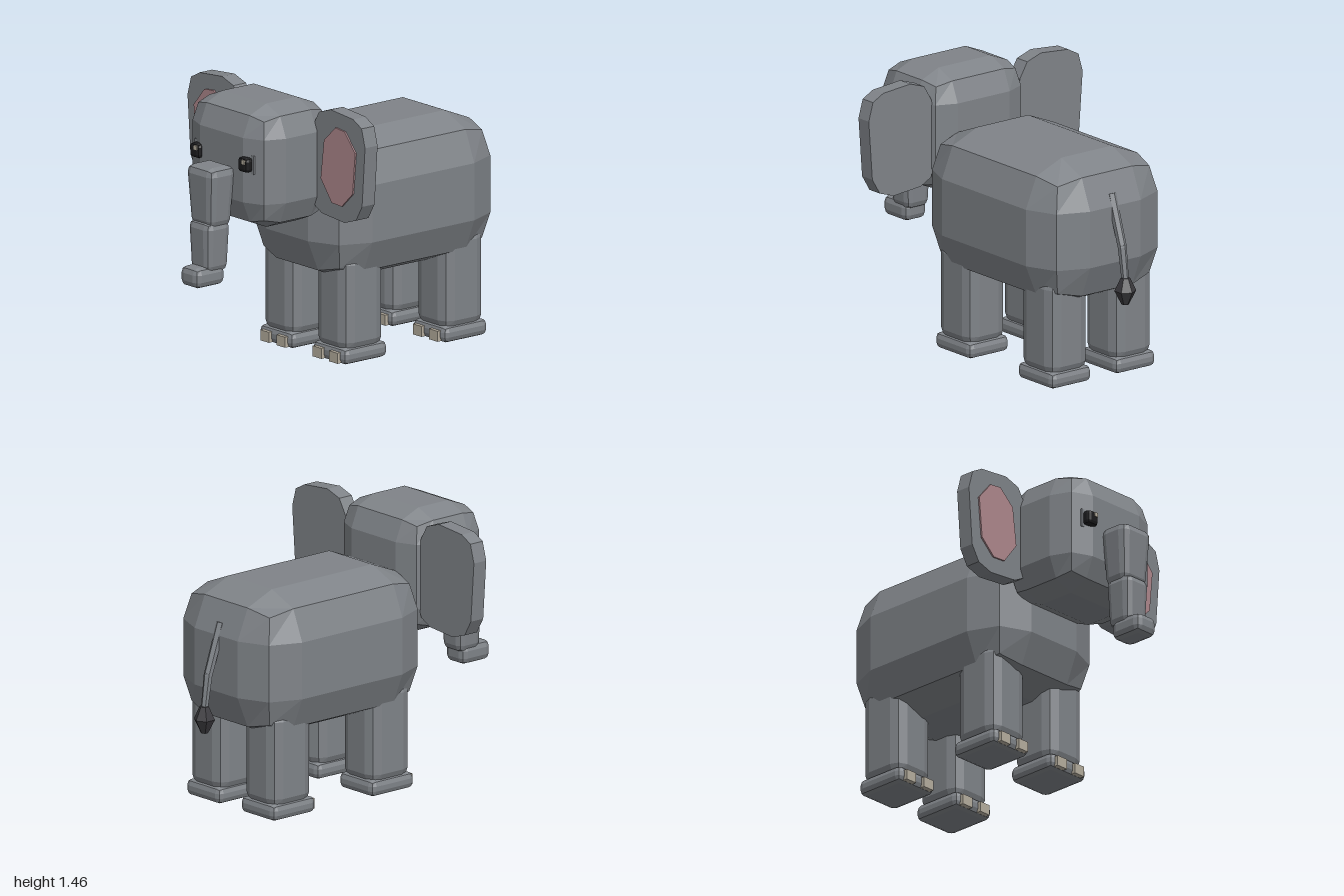
import * as THREE from 'three';
import { RoundedBoxGeometry } from 'three/addons/geometries/RoundedBoxGeometry.js';

function material(name, color) {
  const m = new THREE.MeshStandardMaterial({ color });
  m.name = name;
  return m;
}

// Faceted normals for the low-poly look
function faceted(geometry) {
  const g = geometry.index ? geometry.toNonIndexed() : geometry;
  g.computeVertexNormals();
  return g;
}

// Box with two-step rounded edges, given by its limits; optional taper towards the bottom
function roundedBlock([x0, x1], [y0, y1], [z0, z1], radius, taperX = 1, taperZ = 1) {
  const h = y1 - y0;
  const g = new RoundedBoxGeometry(x1 - x0, h, z1 - z0, 1, radius);
  const p = g.attributes.position;
  for (let i = 0; i < p.count; i++) {
    const t = 0.5 - p.getY(i) / h;
    p.setX(i, p.getX(i) * (1 + (taperX - 1) * t));
    p.setZ(i, p.getZ(i) * (1 + (taperZ - 1) * t));
  }
  g.translate((x0 + x1) / 2, (y0 + y1) / 2, (z0 + z1) / 2);
  return faceted(g);
}

function box([x0, x1], [y0, y1], [z0, z1]) {
  return new THREE.BoxGeometry(x1 - x0, y1 - y0, z1 - z0)
    .translate((x0 + x1) / 2, (y0 + y1) / 2, (z0 + z1) / 2);
}

// Flat plate from an outline, mirrored by side
function plate(outline, side, z, depth) {
  const shape = new THREE.Shape(outline.map(([x, y]) => new THREE.Vector2(x * side, y)));
  return new THREE.ExtrudeGeometry(shape, { depth, bevelEnabled: false }).translate(0, 0, z);
}

// Six-sided limb between two points
function limb(from, to, r0, r1) {
  const a = new THREE.Vector3(...from), b = new THREE.Vector3(...to);
  const dir = b.clone().sub(a);
  const g = new THREE.CylinderGeometry(r1, r0, dir.length(), 6);
  g.applyQuaternion(new THREE.Quaternion().setFromUnitVectors(new THREE.Vector3(0, 1, 0), dir.normalize()));
  g.translate(...a.add(b).multiplyScalar(0.5).toArray());
  return faceted(g);
}

export function createModel() {
  const model = new THREE.Group();
  model.name = 'elephant';
  const hide = material('grey hide', 0x7f8388);
  const pink = material('inner ear pink', 0xad878c);
  const nail = material('nail ivory', 0xb5ad9e);
  const black = material('eye black', 0x1b1b1d);
  const tuftGrey = material('tuft charcoal', 0x3a393d);

  function add(name, geometry, mat) {
    const mesh = new THREE.Mesh(geometry, mat);
    mesh.name = name;
    model.add(mesh);
  }

  // Body and head
  add('body', roundedBlock([-0.41, 0.41], [0.42, 1.21], [-0.86, 0.32], 0.24), hide);
  add('head', roundedBlock([-0.335, 0.335], [0.79, 1.46], [0.24, 0.77], 0.16), hide);

  // Trunk: two tapering sections and a forward tip
  add('upperTrunk', roundedBlock([-0.112, 0.112], [0.8, 1.135], [0.75, 0.935], 0.045, 0.76, 0.8), hide);
  add('middleTrunk', roundedBlock([-0.088, 0.088], [0.56, 0.84], [0.77, 0.937], 0.04, 0.83, 0.88), hide);
  add('trunkTip', roundedBlock([-0.073, 0.073], [0.49, 0.6], [0.8, 1.0], 0.035), hide);

  const earOutline = [
    [0.72, 1.29], [0.692, 1.39], [0.623, 1.427], [0.44, 1.443], [0.347, 1.412], [0.297, 1.327],
    [0.273, 1.004], [0.301, 0.904], [0.37, 0.867], [0.553, 0.851], [0.646, 0.882], [0.696, 0.967],
  ];
  const innerEarOutline = [
    [0.655, 1.25], [0.569, 1.35], [0.495, 1.358], [0.402, 1.273],
    [0.375, 1.06], [0.464, 0.944], [0.545, 0.94], [0.634, 1.025],
  ];

  for (const side of [1, -1]) {
    const label = side > 0 ? 'left' : 'right';
    const span = (a, b) => (side > 0 ? [a, b] : [-b, -a]);

    // Ears
    add(label + 'Ear', plate(earOutline, side, 0.307, 0.086), hide);
    add(label + 'InnerEar', plate(innerEarOutline, side, 0.397, 0.009), pink);

    // Eyes, with the glint on the same side of both
    const ex = side * 0.194;
    add(label + 'EyeSocket', box(span(0.14, 0.24), [1.11, 1.21], [0.7, 0.752]), hide);
    add(label + 'Eye', roundedBlock([ex - 0.038, ex + 0.038], [1.12, 1.2], [0.74, 0.797], 0.02), black);
    add(label + 'EyeGlint', box([ex + 0.003, ex + 0.026], [1.168, 1.191], [0.791, 0.8]), nail);

    // Legs, feet and toenails
    for (const [place, z] of [['Front', 0.07], ['Rear', -0.618]]) {
      add(label + place + 'Leg', roundedBlock(span(0.085, 0.345), [0.05, 0.6], [z - 0.14, z + 0.14], 0.065), hide);
      add(label + place + 'Foot', roundedBlock(span(0.08, 0.352), [0, 0.09], [z - 0.15, z + 0.15], 0.032), hide);
      for (const x of [0.112, 0.243]) {
        add(label + place + 'Toenail', box(span(x, x + 0.07), [0.01, 0.067], [z + 0.12, z + 0.168]), nail);
      }
    }
  }

  // Tail with a faceted tuft
  add('upperTail', limb([0, 1.03, -0.825], [0, 0.755, -0.918], 0.026, 0.024), hide);
  add('lowerTail', limb([0, 0.77, -0.915], [0, 0.56, -0.945], 0.024, 0.019), hide);
  const tuftProfile = [[0, 0.445], [0.02, 0.45], [0.058, 0.525], [0.025, 0.595], [0, 0.6]]
    .map(([r, y]) => new THREE.Vector2(r, y));
  add('tailTuft', faceted(new THREE.LatheGeometry(tuftProfile, 6).translate(0, 0, -0.942)), tuftGrey);

  return model;
}
